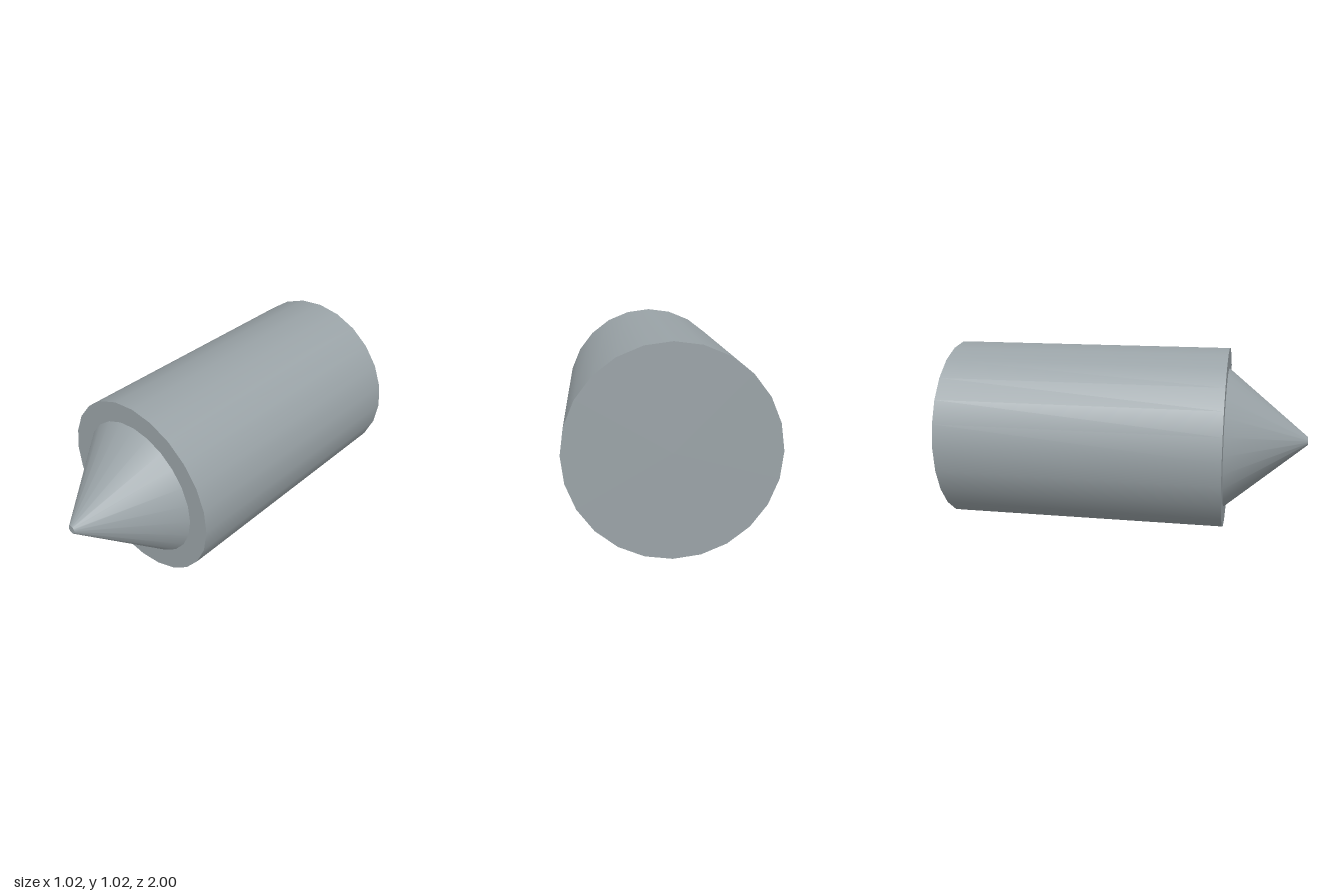
import * as THREE from 'three';

const SIDES = 24;
const RADIUS = 0.508;

export function createModel() {
  const group = new THREE.Group();
  group.name = 'pointedCylinder';

  const steel = new THREE.MeshStandardMaterial({ color: 0x9aa3a7 });
  steel.name = 'blue grey steel';

  // Adds a round section lying along z, from the back end to the front end
  const addSection = (name, frontRadius, backRadius, back, front) => {
    const geometry = new THREE.CylinderGeometry(frontRadius, backRadius, front - back, SIDES);
    geometry.rotateX(Math.PI / 2);
    const mesh = new THREE.Mesh(geometry, steel);
    mesh.name = name;
    mesh.position.set(0, RADIUS, (front + back) / 2);
    group.add(mesh);
  };

  // Main barrel, with flat ends
  addSection('body', RADIUS, RADIUS, -1, 0.55);

  // Tapered nose with a small blunt tip
  addSection('noseCone', 0.023, 0.393, 0.55, 1);

  return group;
}
